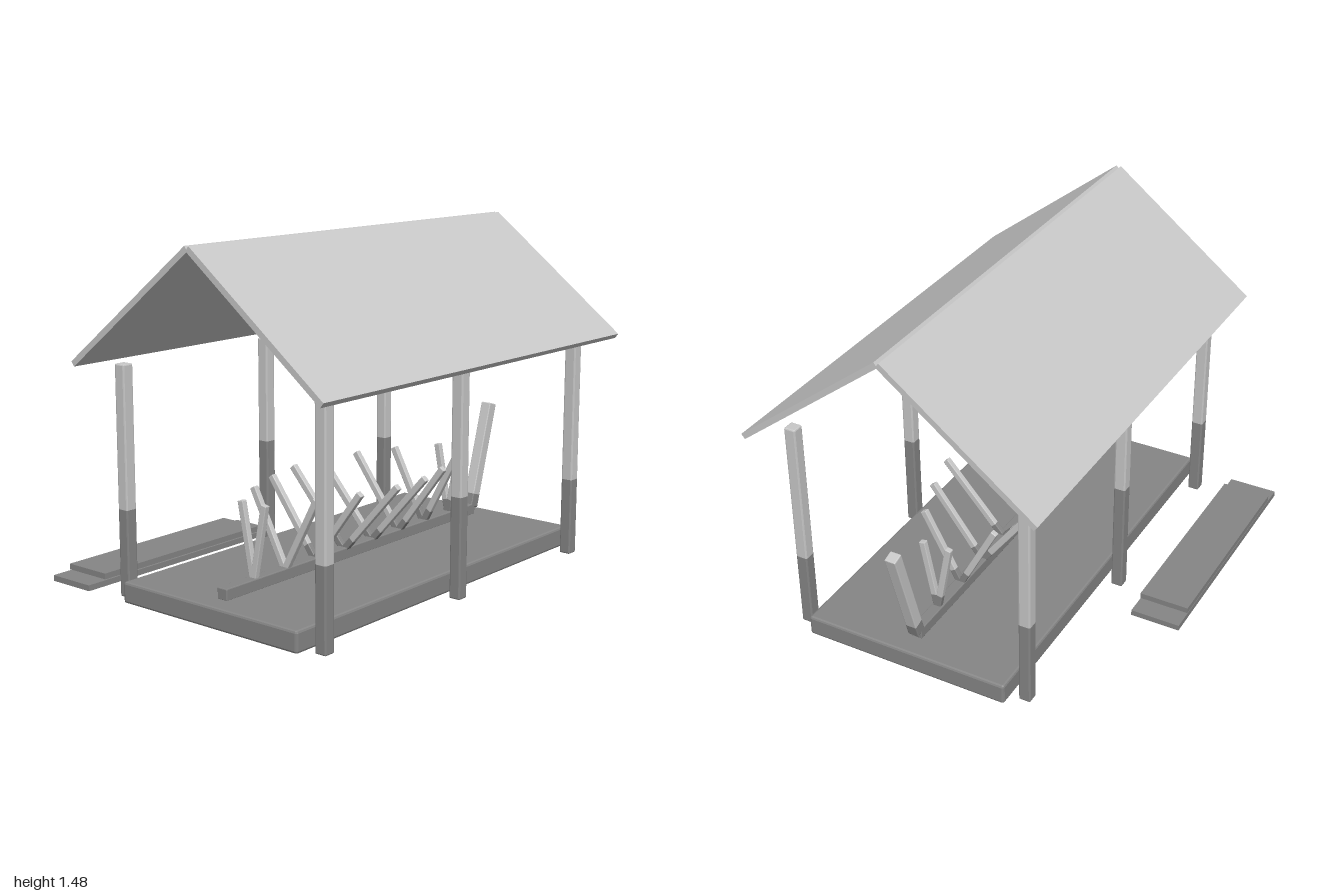
import * as THREE from 'three';
import { RoundedBoxGeometry } from 'three/addons/geometries/RoundedBoxGeometry.js';

const pale = new THREE.MeshStandardMaterial({ color: 0xc8c8c8 });
pale.name = 'paleGrey';
const dark = new THREE.MeshStandardMaterial({ color: 0x868686 });
dark.name = 'darkGrey';

const CX = 0.12; // centre line of the shelter

export function createModel() {
  const model = new THREE.Group();
  model.name = 'boatShelter';

  const add = (parent, name, geometry, material, x = 0, y = 0, z = 0) => {
    const mesh = new THREE.Mesh(geometry, material);
    mesh.name = name;
    mesh.position.set(x, y, z);
    parent.add(mesh);
    return mesh;
  };

  // Chamfered beam standing on y = 0, limited to the heights from..to
  const beam = (w, h, d, r, from = 0, to = h) => {
    const g = new RoundedBoxGeometry(w, h, d, 1, r);
    g.translate(0, h / 2, 0);
    const p = g.attributes.position;
    for (let i = 0; i < p.count; i++) p.setY(i, THREE.MathUtils.clamp(p.getY(i), from, to));
    g.computeVertexNormals();
    return g;
  };

  // Beam with a dark foot and a pale upper length
  const twoTone = (name, w, h, d, r, split) => {
    const group = new THREE.Group();
    group.name = name;
    if (split > 0) add(group, name + 'Foot', beam(w, h, d, r, 0, split), dark);
    add(group, name + 'Shaft', beam(w, h, d, r, split, h), pale);
    model.add(group);
    return group;
  };

  // Platform
  add(model, 'platform', beam(0.93, 0.09, 1.86, 0.01), dark, CX, 0.005, 0);

  // Six posts: side, z, height of the dark foot
  const posts = [
    [1, 0.842, 0.345], [1, 0, 0.43], [1, -0.842, 0.34],
    [-1, 0.842, 0.37], [-1, 0, 0.51], [-1, -0.842, 0.38],
  ];
  for (const [side, z, split] of posts) {
    twoTone('post', 0.052, 0.97, 0.052, 0.006, split).position.set(CX + side * 0.525, 0, z);
  }

  // Two roof slabs meeting at the ridge
  for (const side of [-1, 1]) {
    const slab = add(model, 'roofSlab', new THREE.BoxGeometry(0.816, 0.025, 2), pale,
      CX + side * 0.325, 1.225, 0);
    slab.rotation.z = -side * Math.atan2(0.5, 0.645);
  }

  // Keel and raked stem of the unfinished boat
  add(model, 'keel', beam(0.05, 0.05, 1.67, 0.004), dark, CX, 0.092, 0.005);
  const stem = twoTone('stem', 0.05, 0.49, 0.05, 0.004, 0.06);
  stem.position.set(CX, 0.126, -0.828);
  stem.rotation.x = -0.288;

  // Paired ribs, opening widest amidships
  const spread = [0.062, 0.17, 0.24, 0.285];
  for (let i = 0; i < 8; i++) {
    const z = 0.655 - i * 0.187;
    const reach = spread[Math.min(i, 7 - i)];
    for (const side of [-1, 1]) {
      const rib = twoTone('rib', 0.028, Math.hypot(reach, 0.32), 0.025, 0.003, i < 2 ? 0 : 0.07);
      rib.position.set(CX, 0.127, z);
      rib.rotation.z = -side * Math.atan2(reach, 0.32);
    }
  }

  // Stacked boards beside the shelter
  add(model, 'lowerBoard', new THREE.BoxGeometry(0.22, 0.025, 1.12), dark, -0.665, 0.0225, 0.37);
  add(model, 'upperBoard', new THREE.BoxGeometry(0.22, 0.025, 0.94), dark, -0.665, 0.0515, 0.37);

  return model;
}
